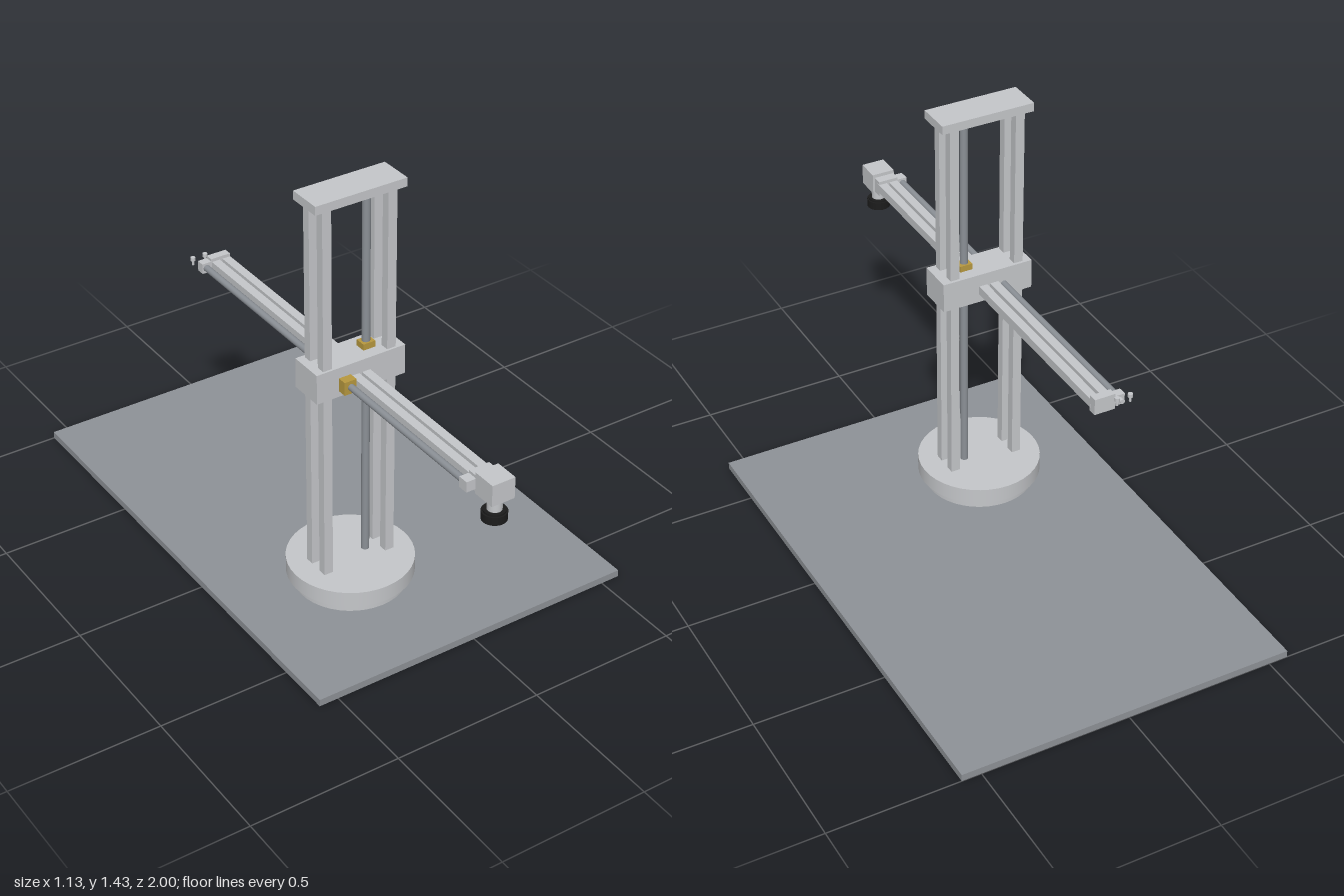
import * as THREE from 'three';

export function createModel() {
  const model = new THREE.Group();
  const material = (name, color) => {
    const m = new THREE.MeshStandardMaterial({ color });
    m.name = name;
    return m;
  };
  const aluminium = material('aluminium', 0xc5c7ca);
  const plateGrey = material('plate grey', 0x8e9297);
  const steel = material('screw steel', 0x8b9096);
  const brass = material('brass', 0xb8993f);
  const black = material('black rubber', 0x1c1c1c);

  const add = (name, geometry, mat) => {
    const mesh = new THREE.Mesh(geometry, mat);
    mesh.name = name;
    model.add(mesh);
    return mesh;
  };
  // Box given by its limits on each axis
  const box = (name, mat, [x0, x1], [y0, y1], [z0, z1]) =>
    add(name, new THREE.BoxGeometry(x1 - x0, y1 - y0, z1 - z0), mat)
      .position.set((x0 + x1) / 2, (y0 + y1) / 2, (z0 + z1) / 2);
  // Upright cylinder between two heights
  const upright = (name, mat, r, x, z, y0, y1, sides = 32) =>
    add(name, new THREE.CylinderGeometry(r, r, y1 - y0, sides), mat)
      .position.set(x, (y0 + y1) / 2, z);
  // Cylinder lying along z
  const lengthwise = (name, mat, r, x, y, z0, z1, sides = 20) =>
    add(name, new THREE.CylinderGeometry(r, r, z1 - z0, sides).rotateX(Math.PI / 2), mat)
      .position.set(x, y, (z0 + z1) / 2);

  const cx = -0.156, cz = 0.233, armY = 0.803;

  // Ground plate and turntable
  box('basePlate', plateGrey, [-0.565, 0.565], [0, 0.024], [-1, 0.685]);
  upright('turntableFoot', aluminium, 0.183, cx, cz, 0.024, 0.057, 40);
  upright('turntable', aluminium, 0.204, cx, cz, 0.057, 0.11, 40);

  // Four column rails, vertical lead screw and top plate
  for (const x of [cx - 0.114, cx + 0.114]) {
    for (const z of [cz - 0.035, cz + 0.036]) {
      box('columnRail', aluminium, [x - 0.0155, x + 0.0155], [0.11, 1.4], [z - 0.0145, z + 0.0145]);
    }
  }
  upright('verticalScrew', steel, 0.013, -0.1, cz, 0.11, 1.4, 20);
  upright('screwBearing', steel, 0.033, -0.1, cz, 1.392, 1.4);
  box('topPlate', aluminium, [-0.313, 0.003], [1.398, 1.427], [0.175, 0.291]);

  // Carriage with its two brass nuts
  box('carriage', aluminium, [-0.313, 0.003], [0.76, 0.861], [0.174, 0.291]);
  box('verticalNut', brass, [-0.121, -0.078], [0.861, 0.882], [cz - 0.018, cz + 0.018]);
  box('armNut', brass, [-0.235, -0.193], [0.78, 0.825], [0.291, 0.322]);

  // Sliding arm: two rails, lead screw and end brackets
  for (const x of [-0.177, -0.138]) {
    box('armRail', aluminium, [x - 0.0145, x + 0.0145], [armY - 0.015, armY + 0.015], [-0.52, 0.9]);
  }
  lengthwise('armScrew', steel, 0.011, -0.212, armY, -0.52, 0.9);
  for (const [z0, z1] of [[-0.542, -0.514], [0.887, 0.922]]) {
    box('endBracket', aluminium, [-0.194, -0.124], [0.775, 0.829], [z0, z1]);
    box('screwSupport', aluminium, [-0.227, -0.194], [0.785, 0.82], [z0, z1]);
  }

  // Small thumb pins behind the rear bracket
  lengthwise('rearShaft', aluminium, 0.008, -0.212, armY, -0.556, -0.54, 16);
  for (const x of [-0.235, -0.19]) {
    upright('pin', aluminium, 0.004, x, -0.56, 0.8, 0.82, 12);
    upright('pinHead', aluminium, 0.008, x, -0.56, 0.816, 0.828, 16);
  }

  // Tool head with a black suction foot
  box('toolHead', aluminium, [-0.196, -0.117], [0.77, 0.841], [0.92, 1]);
  upright('toolStem', aluminium, 0.023, cx, 0.961, 0.722, 0.77, 24);
  upright('toolFootCollar', black, 0.034, cx, 0.961, 0.718, 0.727, 24);
  upright('toolFoot', black, 0.039, cx, 0.961, 0.694, 0.721, 24);

  return model;
}
